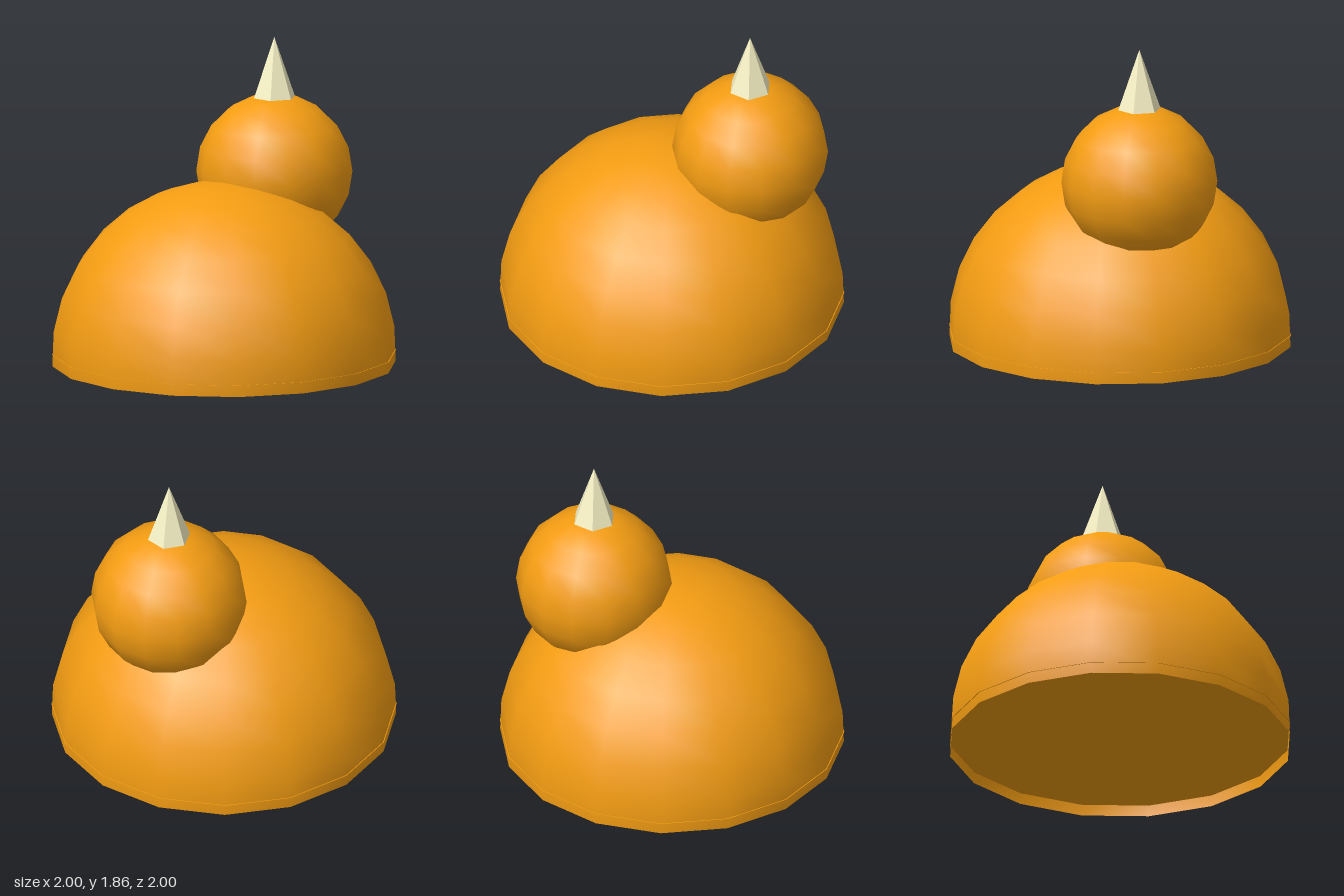
import * as THREE from 'three';

export function createModel() {
  const group = new THREE.Group();
  const orange = new THREE.MeshStandardMaterial({ color: 0xf39c12, side: THREE.DoubleSide });
  const ivory = new THREE.MeshStandardMaterial({ color: 0xf5f0c4, flatShading: true });

  const add = (name, geometry, material, x, y) => {
    const mesh = new THREE.Mesh(geometry, material);
    mesh.name = name;
    mesh.position.set(x, y, 0);
    group.add(mesh);
  };

  // Dome body: a sphere cut off just below its equator at y = 0
  const centreY = 0.067;
  const cut = Math.acos(-centreY);
  add('body', new THREE.SphereGeometry(1, 16, 8, 0, Math.PI * 2, 0, cut), orange, 0, centreY);

  // Underside disc, recessed to the equator
  add('underside', new THREE.CircleGeometry(1, 16).rotateX(Math.PI / 2), orange, 0, centreY);

  // Head sunk into the dome's side
  const headX = 0.453;
  add('head', new THREE.SphereGeometry(0.4525, 14, 10), orange, headX, 1.07);

  // Six-sided horn
  const hornHeight = 0.355;
  add('horn', new THREE.ConeGeometry(0.126, hornHeight, 6), ivory, headX, 1.505 + hornHeight / 2);

  return group;
}
